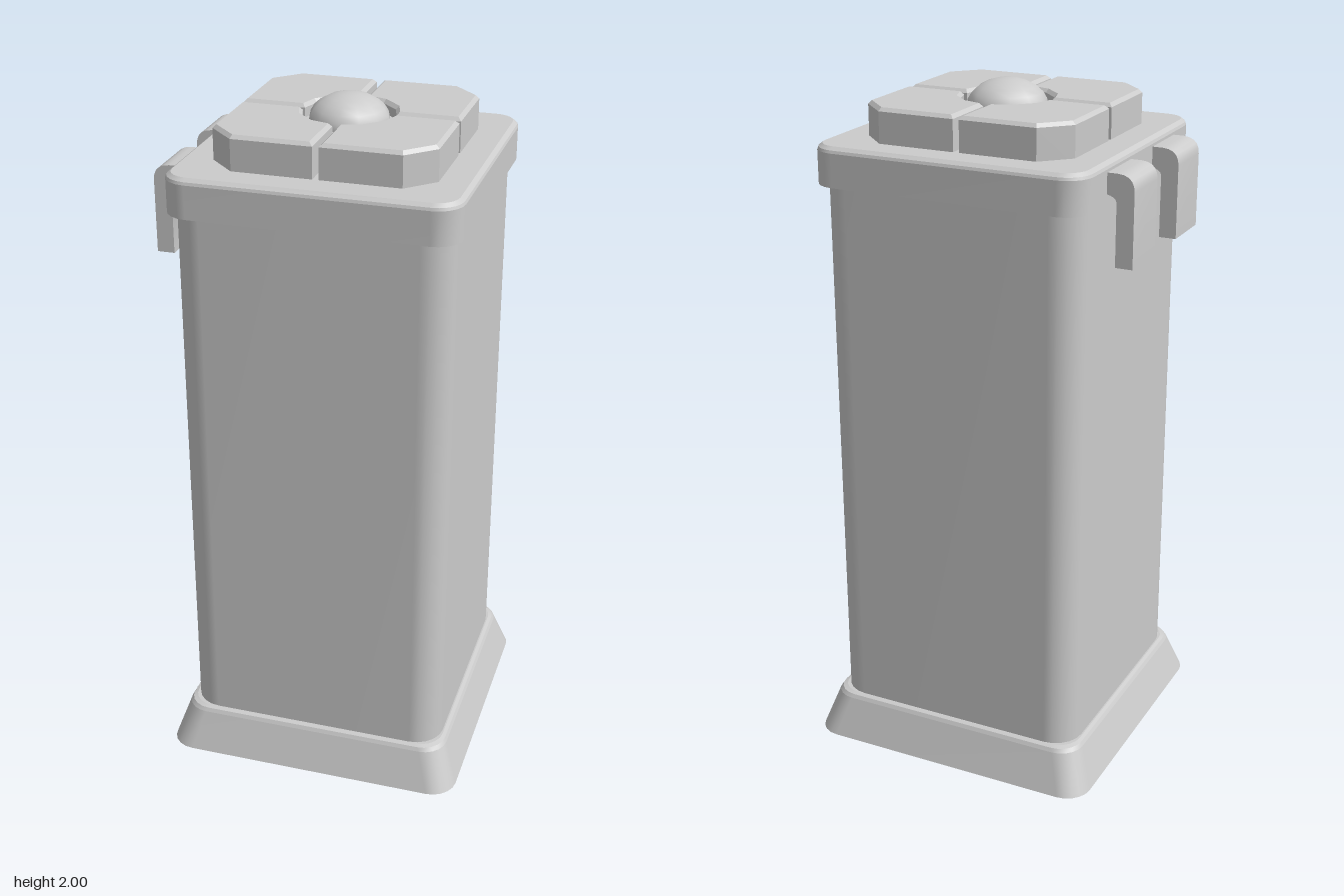
import * as THREE from 'three';
import { toCreasedNormals } from 'three/addons/utils/BufferGeometryUtils.js';

const material = new THREE.MeshStandardMaterial({ color: 0xcccccc });

// Points of one rounded square; a level is [half width, corner radius, y]
function roundedSquareRing([half, radius, y]) {
  const steps = 5, points = [];
  for (let corner = 0; corner < 4; corner++) {
    const mid = (corner + 0.5) * Math.PI / 2;
    const cx = Math.sign(Math.cos(mid)) * (half - radius);
    const cz = Math.sign(Math.sin(mid)) * (half - radius);
    for (let i = 0; i <= steps; i++) {
      const a = (corner + i / steps) * Math.PI / 2;
      points.push([cx + radius * Math.cos(a), y, cz + radius * Math.sin(a)]);
    }
  }
  return points;
}

// Skin through levels: smooth around each band, sharp between bands
function roundedSquareLoft(levels) {
  const positions = [], index = [];
  for (let l = 0; l < levels.length - 1; l++) {
    const lower = roundedSquareRing(levels[l]), upper = roundedSquareRing(levels[l + 1]);
    const start = positions.length / 3, count = lower.length;
    positions.push(...lower.flat(), ...upper.flat());
    for (let i = 0; i < count; i++) {
      const a = start + i, b = start + (i + 1) % count;
      // Skip triangles that collapse where a level is a single point
      if (levels[l][0] > 0) index.push(a, a + count, b);
      if (levels[l + 1][0] > 0) index.push(b, a + count, b + count);
    }
  }
  const geometry = new THREE.BufferGeometry();
  geometry.setAttribute('position', new THREE.Float32BufferAttribute(positions, 3));
  geometry.setIndex(index);
  geometry.computeVertexNormals();
  return geometry;
}

function addPart(parent, name, geometry) {
  const mesh = new THREE.Mesh(geometry, material);
  mesh.name = name;
  parent.add(mesh);
  return mesh;
}

// One quarter of the raised lid panel: chamfered corner, round inner cut
function padGeometry() {
  const gap = 0.009, outer = 0.313, chamfer = 0.077, cut = 0.132, bevel = 0.01;
  const shape = new THREE.Shape();
  shape.moveTo(cut, gap);
  shape.lineTo(outer, gap);
  shape.lineTo(outer, outer - chamfer);
  shape.lineTo(outer - chamfer, outer);
  shape.lineTo(gap, outer);
  shape.lineTo(gap, cut);
  for (const a of [Math.PI / 3, Math.PI / 6]) shape.lineTo(cut * Math.cos(a), cut * Math.sin(a));
  const geometry = new THREE.ExtrudeGeometry(shape, {
    depth: 0.11, bevelEnabled: true, bevelSegments: 1,
    bevelSize: bevel, bevelThickness: bevel, bevelOffset: -bevel,
  });
  geometry.rotateX(-Math.PI / 2);
  geometry.translate(0, 1.952 - 0.11 - bevel, 0);
  return geometry;
}

// Hinge strap: side profile bent over the lid edge, extruded along z
function hingeGeometry() {
  const width = 0.165;
  const shape = new THREE.Shape();
  shape.moveTo(-0.487, 1.572);
  shape.lineTo(-0.437, 1.572);
  shape.lineTo(-0.437, 1.75);
  shape.quadraticCurveTo(-0.435, 1.765, -0.407, 1.77);
  shape.lineTo(-0.395, 1.77);
  shape.lineTo(-0.395, 1.828);
  shape.lineTo(-0.44, 1.828);
  shape.quadraticCurveTo(-0.487, 1.826, -0.487, 1.782);
  shape.closePath();
  const geometry = new THREE.ExtrudeGeometry(shape, { depth: width, bevelEnabled: false, curveSegments: 5 });
  geometry.translate(0, 0, -width / 2);
  return toCreasedNormals(geometry, 0.6);
}

export function createModel() {
  const model = new THREE.Group();
  model.name = 'squareBin';
  const bin = new THREE.Group();
  bin.name = 'bin';
  bin.position.x = 0.017;
  model.add(bin);

  // Tall body
  addPart(bin, 'body', roundedSquareLoft([
    [0.39, 0.085, 0.11], [0.39, 0.085, 1.76],
  ]));

  // Flared thin-walled base with a recessed floor
  addPart(bin, 'baseSkirt', roundedSquareLoft([
    [0, 0, 0.108], [0.412, 0.07, 0.108], [0.448, 0.075, 0], [0.451, 0.075, 0],
    [0.41, 0.07, 0.12], [0.404, 0.07, 0.131], [0.394, 0.07, 0.135], [0.38, 0.085, 0.135],
  ]));

  // Lid with a bevelled rim
  addPart(bin, 'lid', roundedSquareLoft([
    [0, 0, 1.74], [0.409, 0.075, 1.74], [0.409, 0.075, 1.836],
    [0.406, 0.072, 1.844], [0.394, 0.06, 1.853], [0, 0, 1.853],
  ]));

  // Four raised pads around the knob
  const pad = padGeometry();
  for (let i = 0; i < 4; i++) addPart(bin, 'lidPad', pad).rotation.y = i * Math.PI / 2;

  // Knob: twelve-sided collar and flattened dome
  const collar = new THREE.CylinderGeometry(0.124, 0.124, 0.075, 12);
  collar.translate(0, 1.8825, 0);
  addPart(bin, 'knobCollar', toCreasedNormals(collar, 0.4));
  const dome = new THREE.SphereGeometry(0.116, 12, 6, 0, Math.PI * 2, 0, Math.PI / 2);
  dome.scale(1, 0.08 / 0.116, 1);
  dome.translate(0, 1.92, 0);
  addPart(bin, 'knobDome', dome);

  // Pair of hinge straps on one side
  const hinge = hingeGeometry();
  for (const z of [-0.1625, 0.1625]) addPart(bin, 'hinge', hinge).position.z = z;

  return model;
}
